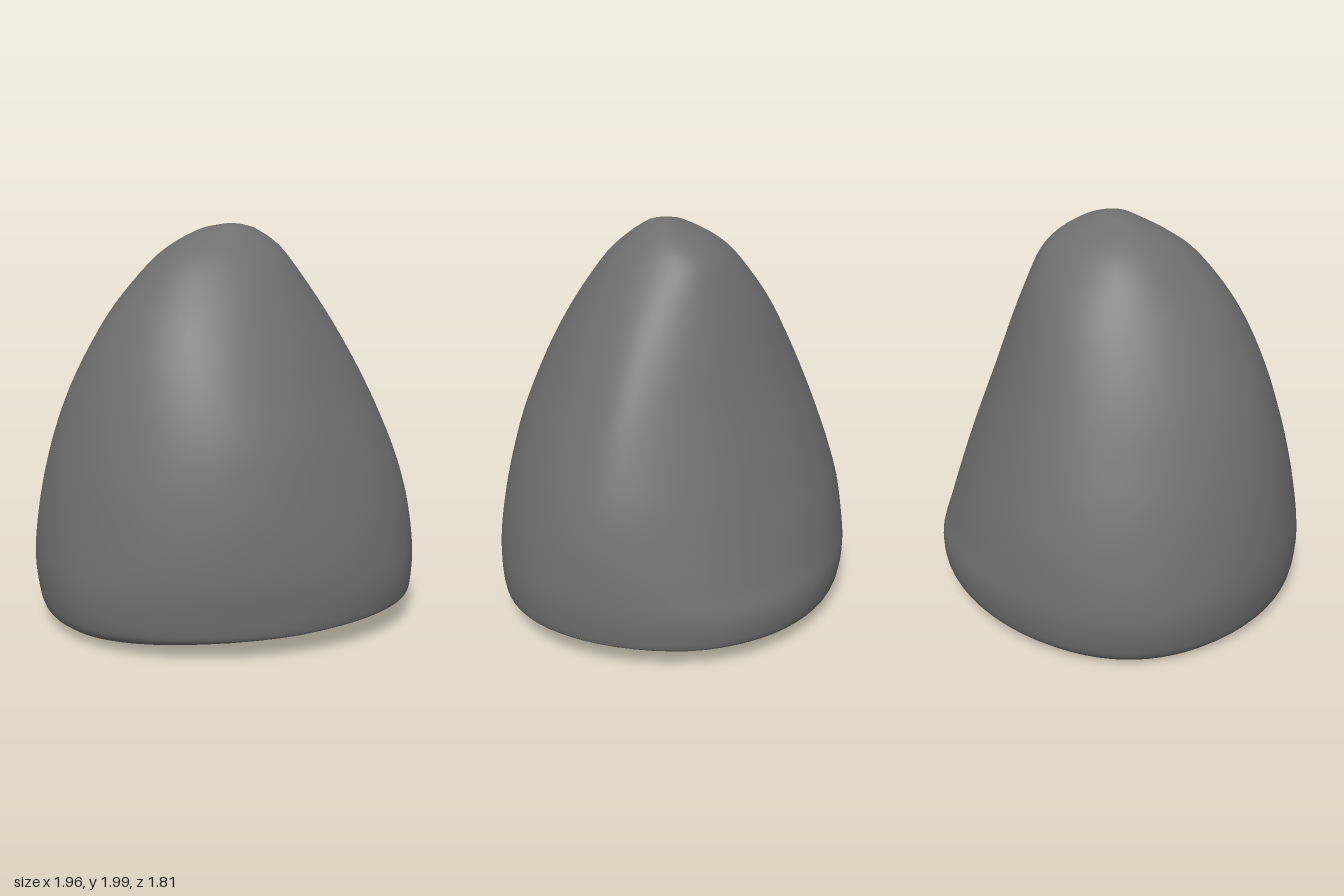
import * as THREE from 'three';
import { mergeVertices } from 'three/addons/utils/BufferGeometryUtils.js';

// Each level: height, then how far the stone extends in 8 directions, turning from +x through +z
const LEVELS = [
  [2, 0.035, 0.053, 0.04, 0.0035, -0.035, -0.053, -0.04, -0.0035],
  [1.993, 0.095, 0.113, 0.10, 0.064, 0.025, 0.007, 0.02, 0.056],
  [1.97, 0.17, 0.16, 0.15, 0.13, 0.12, 0.09, 0.07, 0.125],
  [1.9, 0.28, 0.25, 0.25, 0.28, 0.26, 0.225, 0.21, 0.26],
  [1.8, 0.365, 0.345, 0.36, 0.42, 0.385, 0.345, 0.32, 0.36],
  [1.6, 0.50, 0.475, 0.51, 0.585, 0.56, 0.49, 0.46, 0.45],
  [1.4, 0.62, 0.59, 0.63, 0.70, 0.685, 0.605, 0.555, 0.525],
  [1.2, 0.725, 0.69, 0.725, 0.785, 0.785, 0.70, 0.64, 0.595],
  [1.0, 0.815, 0.785, 0.80, 0.85, 0.86, 0.78, 0.72, 0.67],
  [0.8, 0.89, 0.865, 0.85, 0.905, 0.915, 0.855, 0.79, 0.745],
  [0.6, 0.94, 0.93, 0.885, 0.945, 0.955, 0.915, 0.85, 0.815],
  [0.4, 0.97, 0.97, 0.905, 0.975, 0.98, 0.96, 0.885, 0.88],
  [0.25, 0.975, 0.98, 0.90, 0.98, 0.98, 0.975, 0.90, 0.925],
];
// Lower edge and underside: height above the tilted base, scale of the last level
const EDGE = [[0.1, 0.975], [0.04, 0.935], [0.01, 0.87], [0, 0.6], [0, 0.3], [0, 0]];

const baseHeight = (x, z) => Math.max(0, 0.065 + 0.06 * x + 0.035 * z);

// Profile in one direction: extent, height, and how much it follows the tilted base
function profile(k) {
  const points = LEVELS.map((level) => new THREE.Vector3(level[k + 1], level[0], 0));
  const last = points[points.length - 1].x;
  for (const [h, scale] of EDGE) points.push(new THREE.Vector3(last * scale, h, 1));
  return new THREE.CatmullRomCurve3(points, false, 'catmullrom', 0.5);
}

// Smooth closed outline touching the 8 extents, at the point whose normal has angle t
function outlinePoint(extents, t) {
  let h = 0, slope = 0;
  extents.forEach((extent, j) => {
    const f = t - (j * Math.PI) / 4;
    h += (extent / 8) * (1 + 2 * (Math.cos(f) + Math.cos(2 * f) + Math.cos(3 * f)) + Math.cos(4 * f));
    slope -= (extent / 8) * (2 * Math.sin(f) + 4 * Math.sin(2 * f) + 6 * Math.sin(3 * f) + 4 * Math.sin(4 * f));
  });
  const c = Math.cos(t), s = Math.sin(t);
  return [h * c - slope * s, h * s + slope * c];
}

// Skin the outlines from the apex down to the middle of the base
function stoneGeometry(rows = 90, cols = 72) {
  const profiles = Array.from({ length: 8 }, (_, k) => profile(k));
  const positions = [], index = [];
  for (let i = 0; i <= rows; i++) {
    const samples = profiles.map((p) => p.getPoint(i / rows));
    const extents = samples.map((p) => p.x);
    const height = samples[0].y, tilt = THREE.MathUtils.clamp(samples[0].z, 0, 1);
    for (let j = 0; j < cols; j++) {
      const [x, z] = outlinePoint(extents, (j / cols) * 2 * Math.PI);
      const base = baseHeight(x, z);
      // the edge is sharper where the base rises
      const y = height * (1 - tilt * Math.min(0.85, 8 * base)) + tilt * base;
      positions.push(x, THREE.MathUtils.clamp(y, 0, 2), z);
      if (i === rows) continue;
      const a = i * cols + j, c = i * cols + ((j + 1) % cols);
      if (i > 0) index.push(a, c, a + cols);
      if (i < rows - 1) index.push(c, c + cols, a + cols);
    }
  }
  const geometry = new THREE.BufferGeometry();
  geometry.setAttribute('position', new THREE.Float32BufferAttribute(positions, 3));
  geometry.setIndex(index);
  const merged = mergeVertices(geometry, 1e-5);
  merged.computeVertexNormals();
  return merged;
}

export function createModel() {
  const group = new THREE.Group();
  group.name = 'stone';
  const body = new THREE.Mesh(stoneGeometry(), new THREE.MeshStandardMaterial({ color: 0x6f6f6f }));
  body.name = 'stoneBody';
  group.add(body);
  return group;
}
